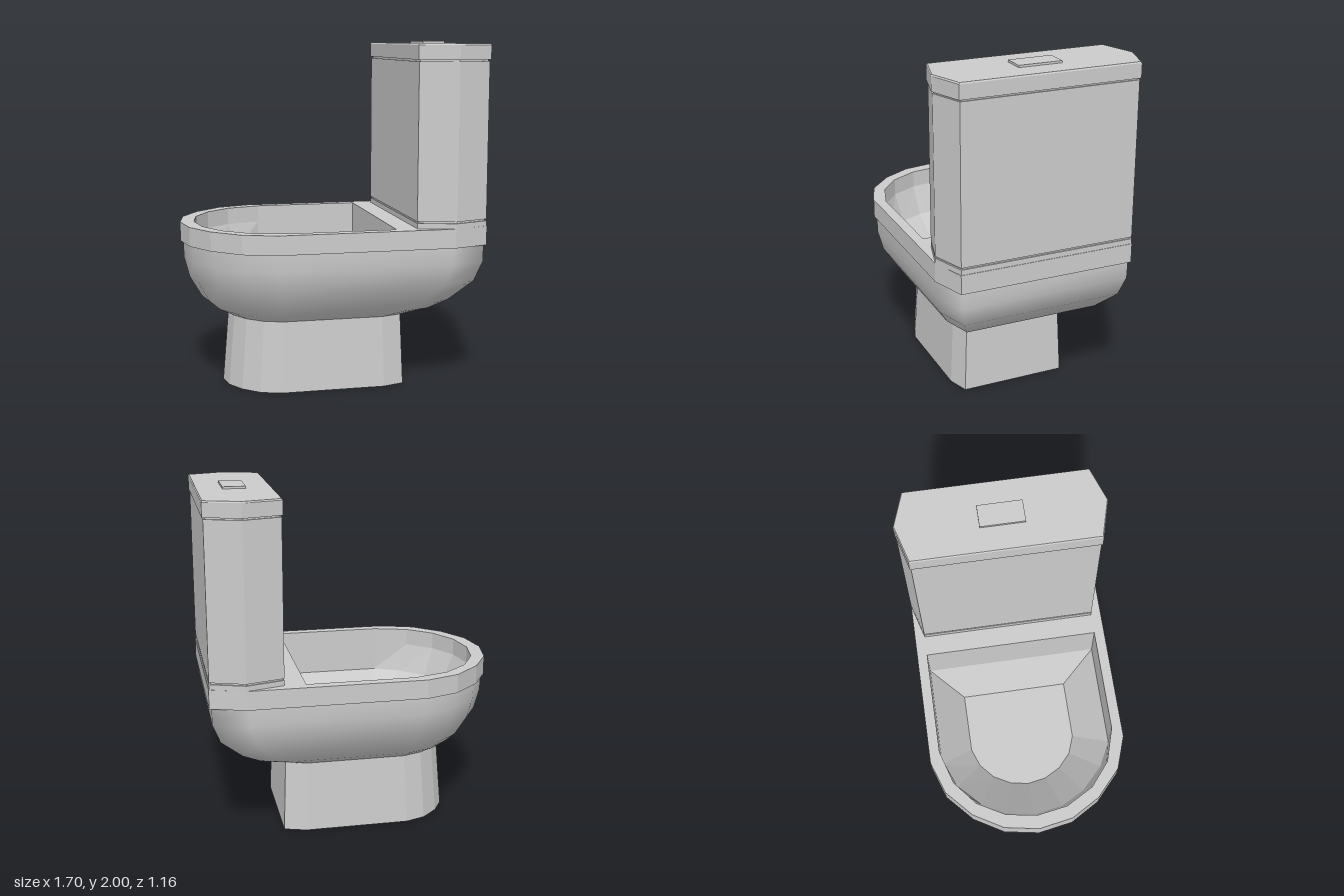
import * as THREE from 'three';

const material = new THREE.MeshStandardMaterial({ color: 0xcccccc });

// Half plans as [x, z], running from the rounded front end (-x) to the back (+x)
const OUTER = [[-0.85, 0], [-0.815, 0.2], [-0.715, 0.37], [-0.56, 0.51], [-0.37, 0.575], [0.64, 0.575], [0.845, 0.51]];
const OPENING = [[-0.77, 0], [-0.74, 0.18], [-0.65, 0.34], [-0.51, 0.455], [-0.31, 0.515], [0.31, 0.515], [0.31, 0.505]];
const LEDGE = [[-0.70, 0], [-0.67, 0.17], [-0.595, 0.31], [-0.46, 0.44], [-0.31, 0.515], [0.31, 0.515], [0.31, 0.505]];
const FLOOR = [[-0.44, 0], [-0.42, 0.11], [-0.365, 0.21], [-0.28, 0.285], [-0.17, 0.325], [0.19, 0.325], [0.19, 0.315]];
const TANK = [[0.43, 0.515], [0.645, 0.575], [0.842, 0.508]];

// Mirror a half plan across z = 0 into a closed ring at height y
function ring(half, y) {
  const mirrored = half.filter(p => p[1] > 0).reverse().map(([x, z]) => [x, -z]);
  return [...half, ...mirrored].map(([x, z]) => [x, y, z]);
}

// The outer plan refitted to a front x, back x and half width
function fit(front, back, width) {
  return OUTER.map(([x, z]) => [front + (x + 0.85) / 1.695 * (back - front), z / 0.575 * width]);
}

// The tank plan grown by d on all sides
function grow(d) {
  return TANK.map(([x, z], i) => [x + (i === 0 ? -d : i === 2 ? d : 0), z + d]);
}

// Skin a stack of rings, optionally closing the first and last one
function loft(name, rings, { smooth = false, start = true, end = true } = {}) {
  const n = rings[0].length, index = [];
  for (let r = 0; r < rings.length - 1; r++) {
    for (let i = 0; i < n; i++) {
      const a = r * n + i, b = r * n + (i + 1) % n;
      index.push(a, b, b + n, a, b + n, a + n);
    }
  }
  const top = (rings.length - 1) * n;
  for (let i = 1; i < n - 1; i++) {
    if (start) index.push(0, i + 1, i);
    if (end) index.push(top, top + i, top + i + 1);
  }
  let geometry = new THREE.BufferGeometry();
  geometry.setAttribute('position', new THREE.Float32BufferAttribute(rings.flat(2), 3));
  geometry.setIndex(index);
  if (!smooth) geometry = geometry.toNonIndexed();
  geometry.computeVertexNormals();
  const mesh = new THREE.Mesh(geometry, material);
  mesh.name = name;
  return mesh;
}

// Straight slab of the tank plan
function tankSlab(name, y0, y1, d) {
  return loft(name, [ring(grow(d), y0), ring(grow(d), y1)]);
}

export function createModel() {
  const model = new THREE.Group();
  model.name = 'toilet';

  // Tapered foot
  model.add(loft('pedestal', [ring(fit(-0.61, 0.415, 0.35), 0), ring(fit(-0.575, 0.4, 0.33), 0.42)]));

  // Rounded outer shell: y, front x, back x, half width
  const shell = [
    [0.415, -0.575, 0.40, 0.33],
    [0.46, -0.665, 0.55, 0.40],
    [0.515, -0.73, 0.655, 0.45],
    [0.635, -0.80, 0.785, 0.53],
    [0.75, -0.83, 0.83, 0.56],
    [0.855, -0.835, 0.832, 0.562],
  ];
  model.add(loft('bowlShell', shell.map(([y, f, b, w]) => ring(fit(f, b, w), y)),
    { smooth: true, start: false, end: false }));
  model.add(loft('bowlUnderside', [ring(fit(-0.575, 0.4, 0.33), 0.415), ring(fit(-0.575, 0.4, 0.33), 0.42)]));

  // Rim band, continuing over the top and down into the basin
  model.add(loft('rimAndBasin', [
    ring(fit(-0.83, 0.83, 0.56), 0.85),
    ring(OUTER, 0.85),
    ring(OUTER, 0.96),
    ring(OPENING, 0.96),
    ring(OPENING, 0.86),
    ring(LEDGE, 0.69),
    ring(FLOOR, 0.45),
  ], { start: false }));

  // Water tank, with thin recessed seams below and above the body
  model.add(tankSlab('tankBase', 0.955, 0.99, 0));
  model.add(tankSlab('lowerSeam', 0.99, 1.0, -0.008));
  model.add(tankSlab('tankBody', 1.0, 1.89, 0));
  model.add(tankSlab('upperSeam', 1.89, 1.9, -0.008));
  model.add(loft('tankLid', [ring(grow(0.006), 1.9), ring(grow(0.006), 1.98), ring(grow(0.001), 1.988)]));

  // Flush button
  const button = new THREE.Mesh(new THREE.BoxGeometry(0.13, 0.02, 0.25), material);
  button.name = 'flushButton';
  button.position.set(0.637, 1.99, 0);
  model.add(button);

  return model;
}
